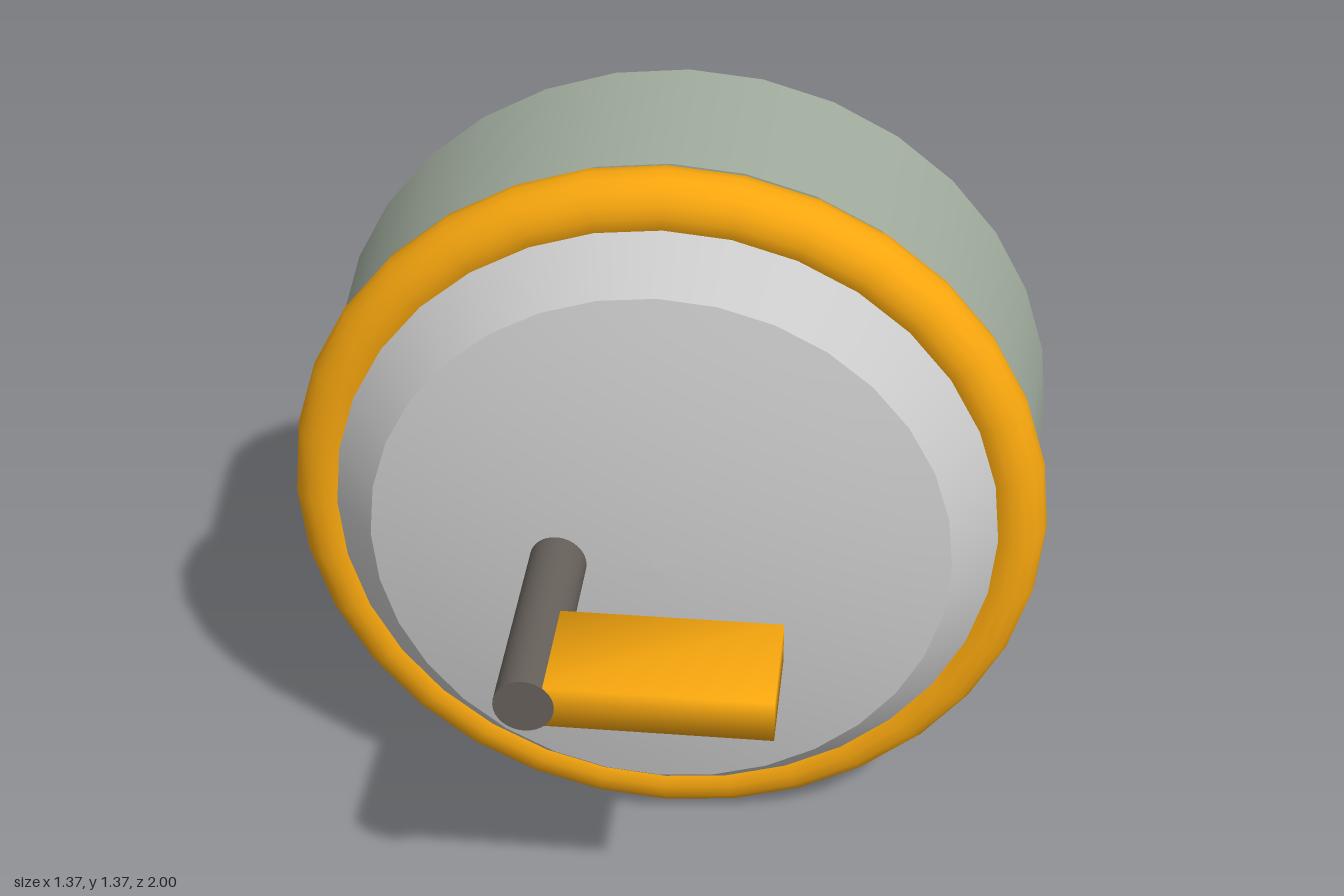
import * as THREE from 'three';
import { mergeVertices } from 'three/addons/utils/BufferGeometryUtils.js';

const SIDES = 32;
const mat = (color) => new THREE.MeshStandardMaterial({ color });
const sage = mat(0x9faa9c), brown = mat(0x57483f), taupe = mat(0x6b635f);
const iron = mat(0x66605a), amber = mat(0xf7a60e), grey = mat(0xcccccc);

export function createModel() {
  const model = new THREE.Group();
  const body = new THREE.Group();
  body.name = 'body';
  body.position.y = 0.688;
  model.add(body);

  const add = (name, geometry, material) => {
    const mesh = new THREE.Mesh(geometry, material);
    mesh.name = name;
    body.add(mesh);
    return mesh;
  };
  // Round section along z, from back (z0, r0) to front (z1, r1)
  const turned = (name, z0, r0, z1, r1, material, open = false, sides = SIDES) => {
    const g = new THREE.CylinderGeometry(r1, r0, z1 - z0, sides, 1, open);
    g.rotateX(Math.PI / 2).translate(0, 0, (z0 + z1) / 2);
    return add(name, g, material);
  };

  // Handle
  turned('handleEnd', -1, 0.153, -0.895, 0.082, taupe);
  turned('handleGrip', -0.9, 0.08, -0.13, 0.1, brown);
  turned('handleCollar', -0.135, 0.125, 0.012, 0.263, sage);

  // Drum, widest at the back
  turned('drum', 0.012, 0.685, 0.325, 0.657, sage);

  // Face plate: neck, bevels and a shallow dome
  turned('plateNeck', 0.32, 0.52, 0.34, 0.52, grey, true);
  turned('plateBack', 0.34, 0.52, 0.4, 0.605, grey, true);
  turned('plateRim', 0.4, 0.605, 0.45, 0.605, grey, true);
  turned('plateBevel', 0.45, 0.605, 0.547, 0.519, grey, true);
  const dome = [];
  for (let i = 0; i <= 8; i++) {
    const t = 1 - i / 8;
    dome.push(new THREE.Vector2(0.519 * t, 0.602 - 0.055 * t * t));
  }
  add('plateDome', new THREE.LatheGeometry(dome, SIDES).rotateX(Math.PI / 2), grey);

  // Ring around the plate
  const ring = new THREE.TorusGeometry(0.624, 0.062, 16, SIDES);
  add('ring', ring, amber).position.z = 0.4;

  // Off-centre rod with a softly shaded paddle at its tip
  turned('rod', 0.53, 0.051, 1, 0.051, iron).position.x = -0.173;
  let paddle = new THREE.BoxGeometry(0.4, 0.078, 0.21);
  paddle.deleteAttribute('normal');
  paddle.deleteAttribute('uv');
  paddle = mergeVertices(paddle);
  paddle.computeVertexNormals();
  add('paddle', paddle, amber).position.set(0.04, 0, 0.894);

  return model;
}
